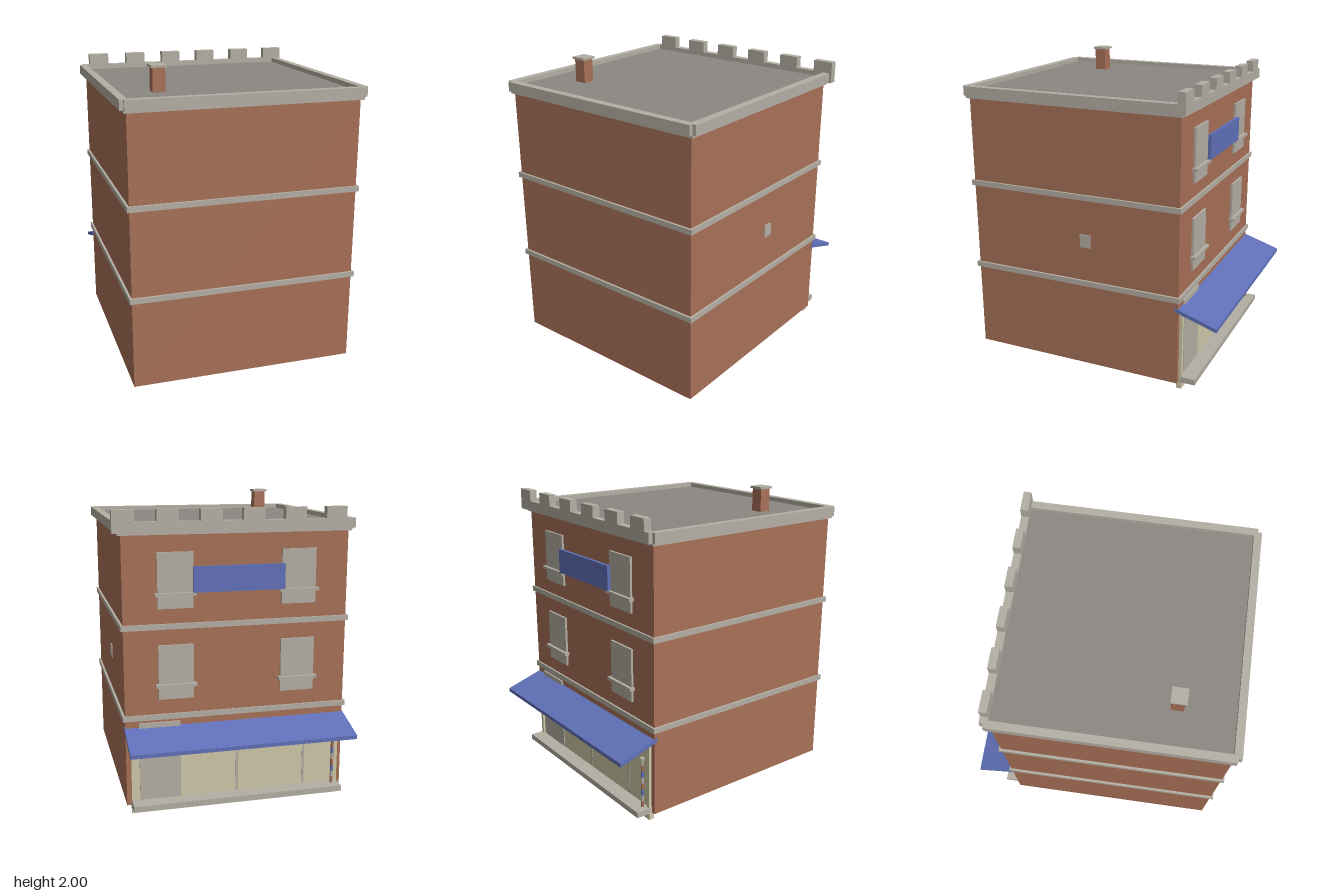
import * as THREE from 'three';

export function createModel() {
  const model = new THREE.Group();
  model.name = 'townShop';

  const mat = (name, color) => {
    const m = new THREE.MeshStandardMaterial({ color });
    m.name = name;
    return m;
  };
  const brick = mat('brick', 0xa87158);
  const stone = mat('stone', 0xb4afa4);
  const roofGrey = mat('roofGrey', 0x8b8782);
  const blue = mat('blue', 0x6070b8);
  const cream = mat('cream', 0xcfc9a8);

  // Box given by its limits on each axis
  const box = (name, material, [x0, x1], [y0, y1], [z0, z1]) => {
    const mesh = new THREE.Mesh(new THREE.BoxGeometry(x1 - x0, y1 - y0, z1 - z0), material);
    mesh.position.set((x0 + x1) / 2, (y0 + y1) / 2, (z0 + z1) / 2);
    mesh.name = name;
    model.add(mesh);
    return mesh;
  };

  // Walls and floor bands
  box('walls', brick, [-0.74, 0.72], [0.05, 1.79], [-0.62, 0.84]);
  for (const y of [0.617, 1.2]) {
    box('floorBand', stone, [-0.755, 0.735], [y, y + 0.035], [-0.633, 0.855]);
  }

  // Cornice, parapet ring and sunken roof
  box('corniceLip', stone, [-0.757, 0.74], [1.785, 1.803], [-0.635, 0.857]);
  box('roof', roofGrey, [-0.735, 0.715], [1.803, 1.835], [-0.62, 0.835]);
  box('parapetLeft', stone, [0.71, 0.76], [1.802, 1.865], [-0.62, 0.85]);
  box('parapetRight', stone, [-0.78, -0.73], [1.802, 1.865], [-0.64, 0.85]);
  box('parapetFront', stone, [-0.755, 0.735], [1.802, 1.8645], [0.825, 0.875]);

  // Battlement over the shop side
  box('battlementBase', stone, [-0.755, 0.776], [1.8, 1.866], [-0.665, -0.615]);
  for (let i = 0; i < 6; i++) {
    const x = -0.709 + i * 0.2697;
    box('merlon', stone, [x, x + 0.136], [1.866, 1.94], [-0.665, -0.615]);
  }

  // Chimney
  box('chimney', brick, [-0.507, -0.427], [1.83, 1.985], [0.432, 0.51]);
  box('chimneyCap', stone, [-0.518, -0.418], [1.985, 2.0], [0.42, 0.52]);

  // Side vent
  box('vent', stone, [0.715, 0.726], [0.88, 0.968], [-0.018, 0.056]);

  // Upper windows with sills
  for (const y of [0.75, 1.33]) {
    for (const x of [-0.409, 0.391]) {
      box('window', stone, [x - 0.113, x + 0.113], [y, y + 0.35], [-0.635, -0.615]);
      box('windowSill', stone, [x - 0.13, x + 0.13], [y + 0.08, y + 0.1], [-0.656, -0.615]);
    }
  }

  // Blank hanging sign
  box('signBoard', blue, [-0.31, 0.282], [1.428, 1.59], [-0.658, -0.636]);

  // Shop front: panes, frame, mullions, door and ledge
  box('shopPanes', cream, [-0.71, 0.69], [0, 0.565], [-0.626, -0.604]);
  for (const x of [-0.71, 0.665]) {
    box('shopPost', cream, [x, x + 0.025], [0, 0.565], [-0.64, -0.605]);
  }
  box('shopBase', cream, [-0.71, 0.69], [0, 0.047], [-0.64, -0.605]);
  for (const x of [-0.47, -0.01, 0.45]) {
    box('mullion', stone, [x - 0.008, x + 0.008], [0.002, 0.56], [-0.629, -0.603]);
  }
  box('shopDoor', stone, [0.368, 0.635], [0.06, 0.6], [-0.632, -0.61]);
  box('shopLedge', stone, [-0.71, 0.69], [0.046, 0.084], [-0.73, -0.63]);

  // Sloping awning, from its side profile
  const profile = new THREE.Shape([
    [-0.6, 0.578], [-0.6, 0.553], [-0.875, 0.465], [-0.875, 0.49],
  ].map(([z, y]) => new THREE.Vector2(-z, y)));
  const awning = new THREE.Mesh(
    new THREE.ExtrudeGeometry(profile, { depth: 1.47, bevelEnabled: false }), blue);
  awning.rotation.y = Math.PI / 2;
  awning.position.x = -0.745;
  awning.name = 'awning';
  model.add(awning);
  for (const x of [-0.575, 0, 0.575]) {
    box('awningBracket', stone, [x - 0.008, x + 0.008], [0.46, 0.558], [-0.652, -0.625]);
  }

  // Striped pole beside the window
  const poleX = -0.665, poleZ = -0.659;
  const disc = (name, material, r, y0, y1) => {
    const mesh = new THREE.Mesh(new THREE.CylinderGeometry(r, r, y1 - y0, 12), material);
    mesh.position.set(poleX, (y0 + y1) / 2, poleZ);
    mesh.name = name;
    model.add(mesh);
  };
  const bands = [brick, stone, blue];
  const step = 0.042;
  for (let i = 0; i < 8; i++) {
    disc('poleBand', bands[i % 3], 0.009, 0.084 + i * step, 0.084 + (i + 1) * step);
  }
  disc('poleCap', stone, 0.015, 0.416, 0.43);

  return model;
}
